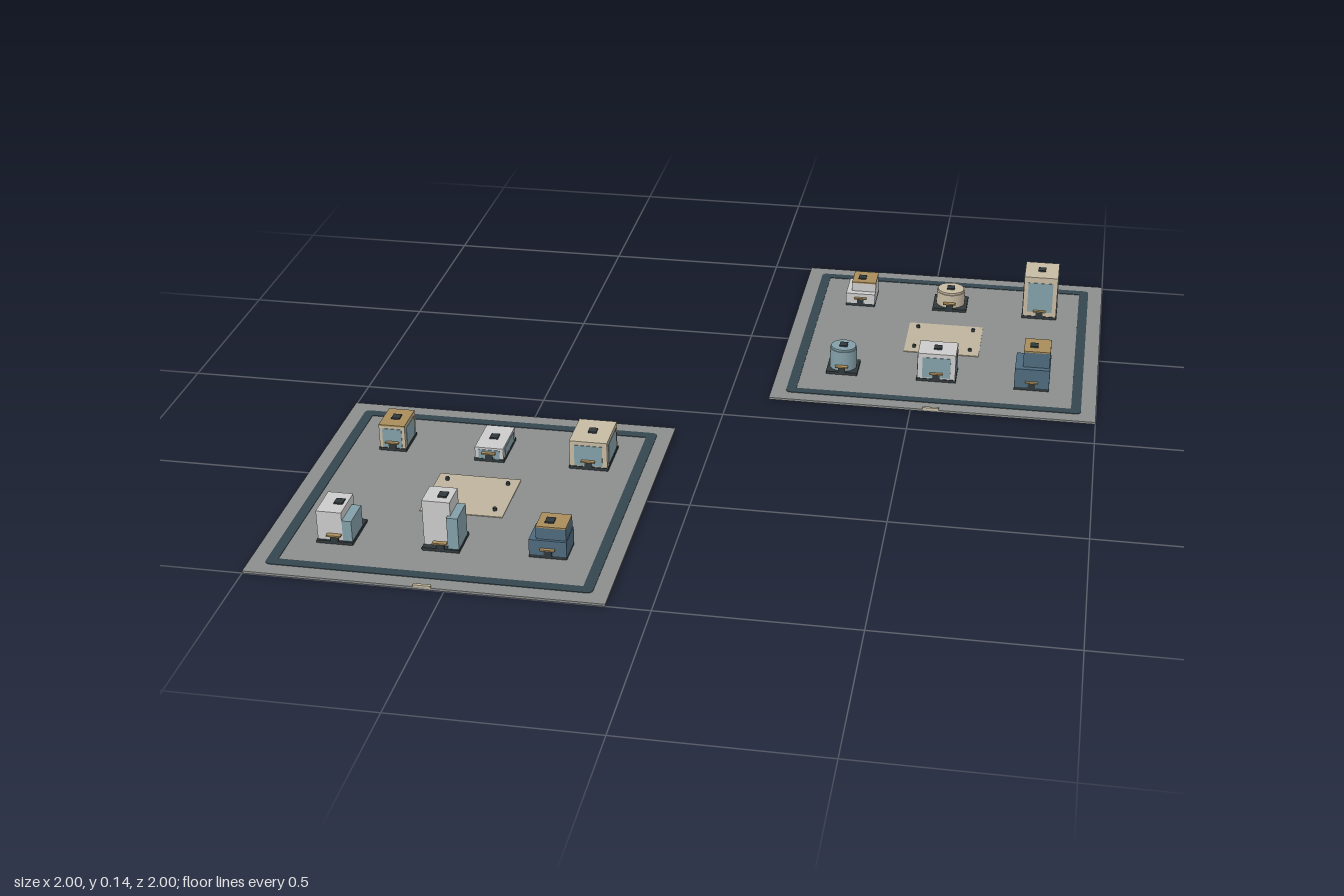
import * as THREE from 'three';

const C = {
  ground: 0x8a8e8b, road: 0x35464f, plaza: 0xbdb39c, tan: 0xc6baa2, gold: 0xa88c5a,
  white: 0xc8cccb, glass: 0x839fa8, blue: 0x4d6a7d, dark: 0x30383b,
};
const mats = {};
const mat = (c) => (mats[c] ??= new THREE.MeshStandardMaterial({ color: C[c], flatShading: true }));
const roundMats = {};
const roundMat = (c) => (roundMats[c] ??= new THREE.MeshStandardMaterial({ color: C[c] }));

const TOP = 0.006; // height of the ground slab
const ROOF = 0.004;

// Box given by its extents: [x0, x1], [y0, y1], [z0, z1]
function box(parent, name, color, [x0, x1], [y0, y1], [z0, z1]) {
  const m = new THREE.Mesh(new THREE.BoxGeometry(x1 - x0, y1 - y0, z1 - z0), mat(color));
  m.name = name;
  m.position.set((x0 + x1) / 2, (y0 + y1) / 2, (z0 + z1) / 2);
  parent.add(m);
}

function cylinder(parent, name, color, r, y0, y1, x = 0, z = 0, sides = 24) {
  const m = new THREE.Mesh(new THREE.CylinderGeometry(r, r, y1 - y0, sides), roundMat(color));
  m.name = name;
  m.position.set(x, (y0 + y1) / 2, z);
  parent.add(m);
}

// Wall block topped by a thin roof slab
function block(g, name, wall, roof, xs, zs, y0, y1) {
  box(g, name, wall, xs, [y0, y1 - ROOF], zs);
  box(g, name + 'Roof', roof, xs, [y1 - ROOF, y1], zs);
}

// Plinth, door canopy and roof unit shared by every building
function fittings(g, [x0, x1], [z0, z1], height) {
  box(g, 'plinth', 'dark', [x0, x1], [TOP, 0.014], [z0, z1]);
  box(g, 'door', 'dark', [-0.01, 0.01], [0.014, 0.03], [z1 - 0.004, z1 + 0.002]);
  box(g, 'doorCanopy', 'gold', [-0.018, 0.018], [0.03, 0.034], [z1 - 0.004, z1 + 0.009]);
  box(g, 'roofUnit', 'dark', [-0.011, 0.011], [height, height + 0.004], [-0.012, 0.012]);
}

// Plain block with a glazed panel on each side
function slabBuilding(g, { w, d, h, wall, roof }) {
  const x = w / 2, z = d / 2, t = 0.0015, low = h * 0.2, high = h * 0.87;
  block(g, 'walls', wall, roof, [-x, x], [-z, z], 0.014, h);
  box(g, 'frontBackGlazing', 'glass', [-x * 0.74, x * 0.74], [low, high], [-z - t, z + t]);
  box(g, 'sideGlazing', 'glass', [-x - t, x + t], [low, high], [-z * 0.74, z * 0.74]);
  fittings(g, [-x - 0.002, x + 0.002], [-z - 0.002, z + 0.002], h);
}

// Round drum on a square plinth
function drumBuilding(g, { r, base, h, wall }) {
  cylinder(g, 'drum', wall, r, 0.014, h - 0.006);
  cylinder(g, 'drumRoof', wall, r * 0.92, h - 0.006, h);
  fittings(g, [-base, base], [-base, base], h);
}

// Wide lower storey with a smaller block set on it
function steppedBuilding(g, { lower, upper, mid, h, wall, roof }) {
  block(g, 'lowerStorey', wall, wall, lower[0], lower[1], 0.014, mid);
  block(g, 'upperStorey', wall, roof, upper[0], upper[1], mid, h);
  fittings(g, lower[0], lower[1], h);
}

// Tower with a lower glazed wing on its left side
function wingBuilding(g, { base, tower, wing, h, wingH }) {
  block(g, 'tower', 'white', 'white', tower[0], tower[1], 0.014, h);
  block(g, 'wing', 'glass', 'glass', wing[0], wing[1], 0.014, wingH);
  fittings(g, base[0], base[1], h);
}

function buildTile(name, cx, cz, buildings) {
  const tile = new THREE.Group();
  tile.name = name;
  tile.position.set(cx, 0, cz);
  box(tile, 'groundSlab', 'ground', [-0.445, 0.445], [0, TOP], [-0.445, 0.445]);

  // Ring road with rounded corners
  const R = 0.391, hw = 0.0135, y = [TOP - 0.001, TOP + 0.0015];
  for (const s of [-1, 1]) {
    box(tile, 'roadAcross', 'road', [-R, R], y, [s * R - hw, s * R + hw]);
    box(tile, 'roadAlong', 'road', [s * R - hw, s * R + hw], y, [-R, R]);
    for (const q of [-1, 1]) cylinder(tile, 'roadCorner', 'road', hw, y[0], y[1], s * R, q * R, 16);
  }

  // Central plaza with four bollards
  box(tile, 'plaza', 'plaza', [-0.107, 0.107], [TOP - 0.001, TOP + 0.002], [-0.097, 0.097]);
  for (const sx of [-1, 1]) for (const sz of [-1, 1])
    cylinder(tile, 'bollard', 'dark', 0.005, TOP, 0.016, sx * 0.08, sz * 0.066, 10);

  // Small plate on the front edge
  box(tile, 'edgePlate', 'tan', [-0.022, 0.022], [TOP - 0.002, 0.011], [0.437, 0.445]);

  for (const [label, build, x, z, spec] of buildings) {
    const g = new THREE.Group();
    g.name = label;
    g.position.set(x, 0, z);
    build(g, spec);
    tile.add(g);
  }
  return tile;
}

export function createModel() {
  const model = new THREE.Group();
  model.name = 'townTiles';
  const B = -0.245, F = 0.23; // back and front rows
  model.add(buildTile('backTile', 0.555, -0.555, [
    ['steppedHouse', steppedBuilding, -0.265, B, {
      lower: [[-0.043, 0.043], [-0.052, 0.054]], upper: [[-0.028, 0.043], [-0.046, 0.034]],
      mid: 0.045, h: 0.074, wall: 'white', roof: 'gold' }],
    ['tanDrum', drumBuilding, 0, B, { r: 0.042, base: 0.05, h: 0.06, wall: 'tan' }],
    ['tallBlock', slabBuilding, 0.265, B, { w: 0.098, d: 0.112, h: 0.138, wall: 'tan', roof: 'tan' }],
    ['blueDrum', drumBuilding, -0.265, F, { r: 0.038, base: 0.044, h: 0.078, wall: 'glass' }],
    ['whiteBlock', slabBuilding, 0, F, { w: 0.106, d: 0.084, h: 0.09, wall: 'white', roof: 'white' }],
    ['steppedTower', steppedBuilding, 0.265, F, {
      lower: [[-0.048, 0.048], [-0.049, 0.054]], upper: [[-0.027, 0.046], [-0.046, 0.038]],
      mid: 0.07, h: 0.118, wall: 'blue', roof: 'gold' }],
  ]));
  model.add(buildTile('frontTile', -0.555, 0.555, [
    ['smallBlock', slabBuilding, -0.265, B, { w: 0.07, d: 0.094, h: 0.08, wall: 'tan', roof: 'gold' }],
    ['lowBlock', slabBuilding, 0, B, { w: 0.076, d: 0.124, h: 0.045, wall: 'white', roof: 'white' }],
    ['wideBlock', slabBuilding, 0.265, B, { w: 0.1, d: 0.124, h: 0.086, wall: 'tan', roof: 'tan' }],
    ['wingHouse', wingBuilding, -0.265, F, {
      base: [[-0.046, 0.046], [-0.059, 0.058]], tower: [[-0.044, 0.02], [-0.045, 0.052]],
      wing: [[0.012, 0.044], [-0.03, 0.052]], h: 0.092, wingH: 0.07 }],
    ['wingTower', wingBuilding, 0, F, {
      base: [[-0.047, 0.047], [-0.042, 0.05]], tower: [[-0.045, 0.025], [-0.04, 0.034]],
      wing: [[0.018, 0.046], [-0.03, 0.046]], h: 0.136, wingH: 0.1 }],
    ['steppedShop', steppedBuilding, 0.265, F, {
      lower: [[-0.047, 0.047], [-0.042, 0.037]], upper: [[-0.03, 0.045], [-0.038, 0.03]],
      mid: 0.055, h: 0.09, wall: 'blue', roof: 'gold' }],
  ]));
  return model;
}
